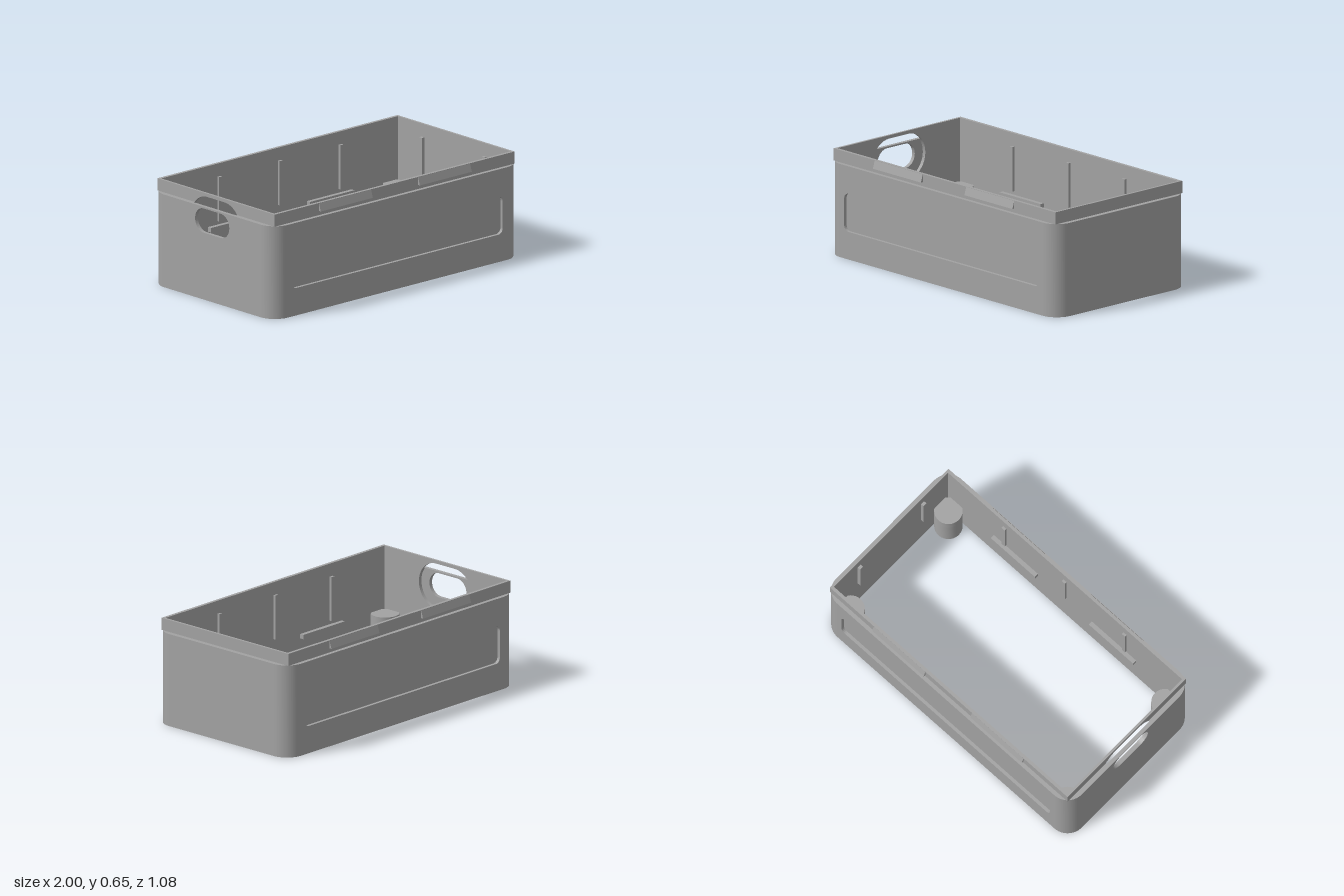
import * as THREE from 'three';
import { toCreasedNormals } from 'three/addons/utils/BufferGeometryUtils.js';

export function createModel() {
  const model = new THREE.Group();
  const grey = new THREE.MeshStandardMaterial({ color: 0xa2a2a2 });
  grey.name = 'grey plastic';

  const add = (name, geometry, parent = model) => {
    const mesh = new THREE.Mesh(geometry, grey);
    mesh.name = name;
    parent.add(mesh);
    return mesh;
  };
  const extrude = (shape, depth) => toCreasedNormals(
    new THREE.ExtrudeGeometry(shape, { depth, bevelEnabled: false, curveSegments: 16 }), 0.5);
  // footprint in (x, z), raised from y0 to y1
  const raise = (shape, y0, y1) => extrude(shape, y1 - y0).rotateX(-Math.PI / 2).translate(0, y0, 0);
  // outline in (z, y), running from x1 down to x0
  const across = (shape, x0, x1) => extrude(shape, x1 - x0).rotateY(-Math.PI / 2).translate(x1, 0, 0);
  const polygon = (points) => new THREE.Shape(points.map(([a, b]) => new THREE.Vector2(a, b)));
  const rect = (w, y0, y1) => polygon([[-w, y0], [w, y0], [w, y1], [-w, y1]]);
  const roundRect = (w, y0, y1, r) => {
    const p = new THREE.Shape();
    p.absarc(w - r, y0 + r, r, -Math.PI / 2, 0);
    p.absarc(w - r, y1 - r, r, 0, Math.PI / 2);
    p.absarc(-w + r, y1 - r, r, Math.PI / 2, Math.PI);
    p.absarc(-w + r, y0 + r, r, Math.PI, Math.PI * 1.5);
    p.closePath();
    return p;
  };

  const H = 0.575, TOP = 0.65;        // ledge and rim heights
  const IX = 0.955, IZ = 0.495;       // inner half sizes
  const CX = 0.885, CZ = 0.425, R = 0.115; // corner centres and radius

  // Wall ring, open on the handle side, set back behind the long face plates
  const ring = new THREE.Shape();
  ring.moveTo(-1, CZ);
  ring.absarc(-CX, CZ, R, Math.PI, Math.PI / 2, true);
  ring.lineTo(-CX, 0.52);
  ring.lineTo(CX, 0.52);
  ring.absarc(CX, CZ, R, Math.PI / 2, 0, true);
  ring.absarc(CX, -CZ, R, 0, -Math.PI / 2, true);
  ring.lineTo(CX, -0.52);
  ring.lineTo(-CX, -0.52);
  ring.absarc(-CX, -CZ, R, -Math.PI / 2, -Math.PI, true);
  const inside = [[-IX, -CZ], [-IX, -IZ], [IX, -IZ], [IX, IZ], [-IX, IZ], [-IX, CZ]];
  inside.forEach(([x, z]) => ring.lineTo(x, z));
  ring.closePath();
  add('walls', raise(ring, 0, H));

  // Thin sharp-cornered rim above the ledge
  add('rim', raise(polygon([[-0.97, CZ], [-0.97, 0.515], [0.97, 0.515], [0.97, -0.515],
    [-0.97, -0.515], [-0.97, -CZ], ...inside]), H, TOP));

  // Handle wall in three layers: oval opening, then the wider inner recess and groove
  const groove = () => roundRect(0.23, 0.105, 0.135, 0.005);
  const outer = rect(CZ, 0, H);
  outer.holes.push(roundRect(0.15, 0.415, 0.565, 0.0749));
  add('handleWallOuter', across(outer, -1, -0.977));

  const a = Math.asin(0.085 / 0.14);
  const middle = new THREE.Shape();
  middle.moveTo(-CZ, H);
  middle.lineTo(-CZ, 0);
  middle.lineTo(CZ, 0);
  middle.lineTo(CZ, H);
  middle.absarc(0.075, 0.49, 0.14, a, -Math.PI / 2, true);
  middle.absarc(-0.075, 0.49, 0.14, -Math.PI / 2, -Math.PI - a, true);
  middle.closePath();
  middle.holes.push(groove());
  add('handleWallMiddle', across(middle, -0.977, -0.97));

  const inner = rect(CZ, 0, TOP);
  inner.holes.push(roundRect(0.215, 0.35, 0.63, 0.1399), groove());
  add('handleWallInner', across(inner, -0.97, -IX));

  // Long sides: framed face plate, snap wedges, ribs and shelf strips
  for (const [side, turn] of [['front', 0], ['back', Math.PI]]) {
    const group = new THREE.Group();
    group.name = side + 'Side';
    group.rotation.y = turn;
    model.add(group);

    const plate = rect(CX, 0, H);
    plate.holes.push(roundRect(0.85, 0.17, 0.405, 0.035));
    add('facePlate', extrude(plate, 0.02).translate(0, 0, 0.52), group);

    const wedge = polygon([[0.51, 0.6], [0.53, 0.6], [0.515, 0.648], [0.51, 0.648]]);
    for (const x of [-0.4, 0.4]) {
      add('snapWedge', across(wedge, x - 0.21, x + 0.21), group);
      add('supportStrip', new THREE.BoxGeometry(0.36, 0.028, 0.03).translate(x, 0.258, 0.483), group);
    }
    for (const x of [-0.49, 0, 0.49]) {
      add('verticalRib', new THREE.BoxGeometry(0.026, 0.275, 0.02).translate(x, 0.432, 0.49), group);
    }
  }

  // Ribs on the closed short side
  for (const z of [-0.275, 0.275]) {
    add('endRib', new THREE.BoxGeometry(0.025, 0.275, 0.026).translate(0.947, 0.432, z));
  }

  // Corner pillars with blind screw holes from below
  const tube = new THREE.Shape().absarc(0, 0, 0.085, 0, Math.PI * 2);
  tube.holes.push(new THREE.Path().absarc(0, 0, 0.021, 0, Math.PI * 2, true));
  const cap = new THREE.Shape().absarc(0, 0, 0.085, 0, Math.PI * 2);
  for (const x of [-CX, CX]) {
    for (const z of [-CZ, CZ]) {
      add('pillar', raise(tube, 0, 0.2)).position.set(x, 0, z);
      add('pillarTop', raise(cap, 0.2, 0.26)).position.set(x, 0, z);
    }
  }
  return model;
}
